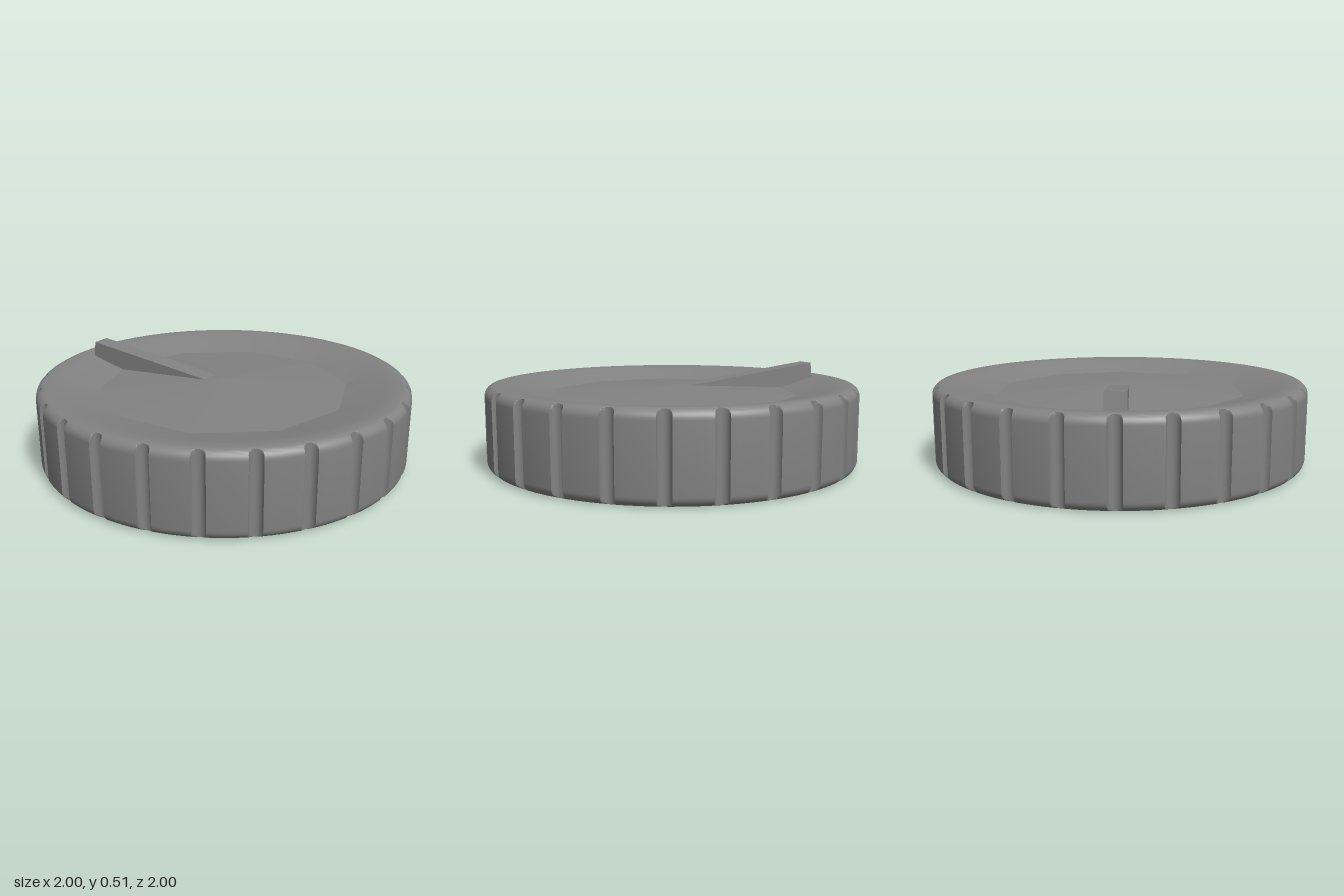
import * as THREE from 'three';
import { toCreasedNormals } from 'three/addons/utils/BufferGeometryUtils.js';

const HEIGHT = 0.435, NOTCHES = 25, NOTCH_R = 0.034, SIDES = 10, DISH_R = 0.678;

// Half profile [radius, y] from the dish edge over the rounded lip to the side
function lipProfile() {
  const pts = [[DISH_R, 0.375], [0.78, 0.403], [0.87, 0.426], [0.91, 0.433]];
  for (let i = 0; i <= 8; i++) {
    const a = (i / 8) * Math.PI / 2;
    pts.push([0.95 + 0.05 * Math.sin(a), HEIGHT - 0.05 + 0.05 * Math.cos(a)]);
  }
  return pts;
}

// Angles round the rim with the greatest radius allowed there by the grip notches
function rimSamples() {
  const step = 2 * Math.PI / NOTCHES, edge = Math.atan(NOTCH_R), out = [];
  for (let n = 0; n < NOTCHES; n++) {
    const mid = Math.PI + n * step;
    for (let i = 0; i <= 10; i++) {
      const t = (i / 10 - 0.5) * Math.PI;
      const x = 1 - NOTCH_R * Math.cos(t), z = NOTCH_R * Math.sin(t);
      out.push([mid + Math.atan2(z, x), Math.min(1, Math.hypot(x, z))]);
    }
    for (let i = 1; i < 4; i++) out.push([mid + edge + (step - 2 * edge) * i / 4, 1]);
  }
  return out;
}

// Radius of the ten-sided dish outline at an angle
function polygonRadius(angle) {
  const seg = 2 * Math.PI / SIDES;
  const a = ((angle % seg) + seg) % seg - seg / 2;
  return DISH_R * Math.cos(seg / 2) / Math.cos(a);
}

// Notched ring: lip, side wall and mirrored lower lip
function bodyGeometry() {
  const top = lipProfile();
  const profile = [...top, ...top.map(([r, y]) => [r, HEIGHT - y]).reverse()];
  const samples = rimSamples(), n = samples.length;
  const pos = [], index = [];
  profile.forEach(([r, y], i) => {
    const dishEdge = i === 0 || i === profile.length - 1;
    for (const [a, limit] of samples) {
      const rr = dishEdge ? polygonRadius(a) : Math.min(r, limit);
      pos.push(rr * Math.cos(a), y, rr * Math.sin(a));
    }
  });
  for (let i = 0; i < profile.length - 1; i++) {
    for (let j = 0; j < n; j++) {
      const a = i * n + j, b = i * n + (j + 1) % n;
      index.push(a, b, a + n, b, b + n, a + n);
    }
  }
  const geo = new THREE.BufferGeometry();
  geo.setAttribute('position', new THREE.Float32BufferAttribute(pos, 3));
  geo.setIndex(index);
  return toCreasedNormals(geo, 0.6);
}

export function createModel() {
  const group = new THREE.Group();
  const smooth = new THREE.MeshStandardMaterial({ color: 0x828282 });
  const flat = new THREE.MeshStandardMaterial({ color: 0x828282, flatShading: true });
  const add = (name, geo, mat) => {
    const mesh = new THREE.Mesh(geo, mat);
    mesh.name = name;
    group.add(mesh);
    return mesh;
  };

  add('notchedBody', bodyGeometry(), smooth);

  // Shallow ten-sided cones closing the top and the underside
  const rise = 0.045;
  const cone = new THREE.ConeGeometry(DISH_R, rise, SIDES, 1, true, Math.PI / 2);
  add('topFace', cone, flat).position.y = 0.375 + rise / 2;
  const bottom = add('bottomFace', cone, flat);
  bottom.rotation.x = Math.PI;
  bottom.position.y = HEIGHT - 0.375 - rise / 2;

  // Sloping pointer wedge on the left of the dial, its tip sinking into the top face
  const shape = new THREE.Shape([
    [-0.86, 0.51], [-0.872, 0.4], [-0.68, 0.35], [-0.05, 0.38], [-0.05, 0.408],
  ].map(([x, y]) => new THREE.Vector2(x, y)));
  const pointer = new THREE.ExtrudeGeometry(shape, { depth: 0.104, bevelEnabled: false });
  pointer.translate(0, 0, -0.052);
  add('pointer', pointer, flat);

  return group;
}
